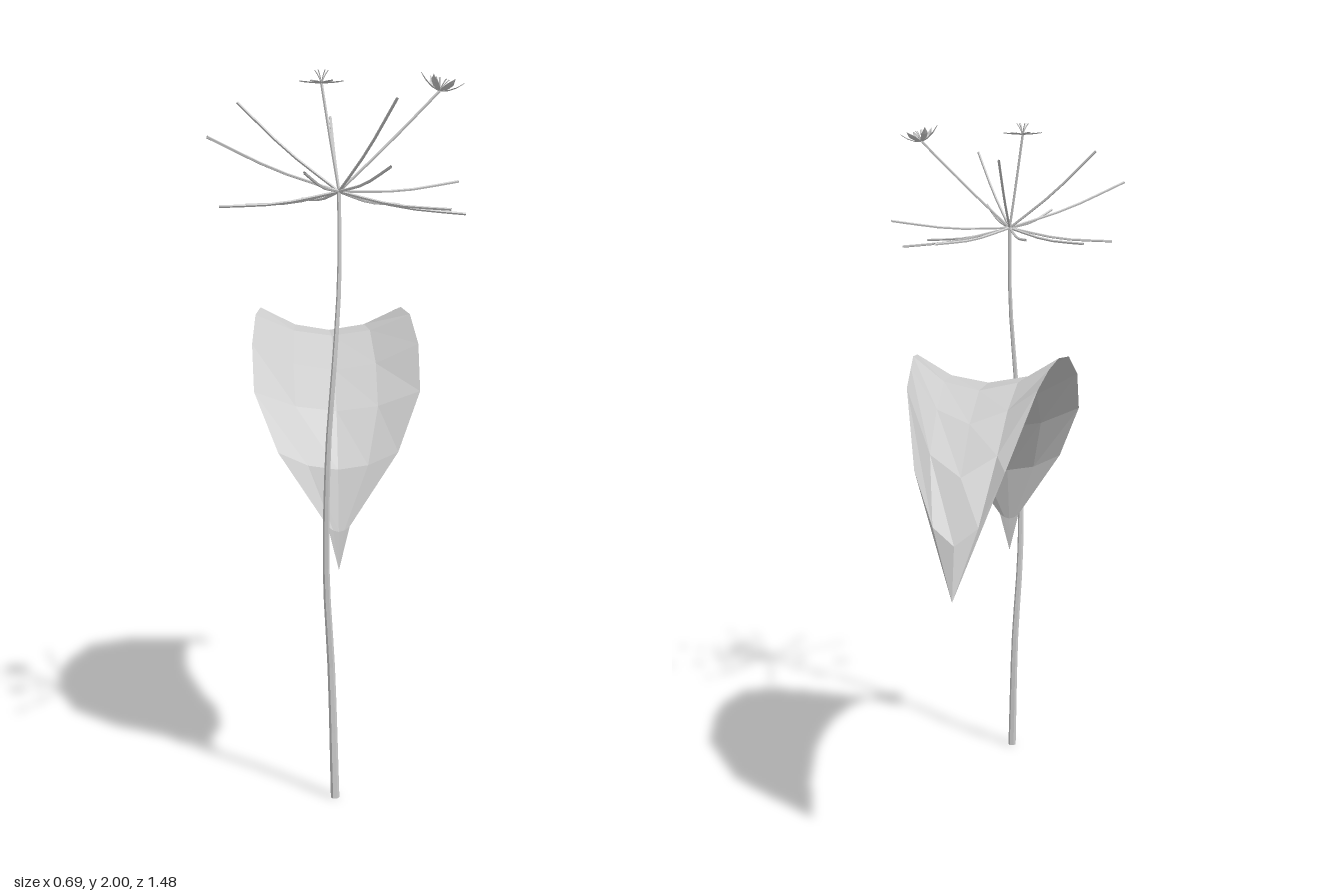
import * as THREE from 'three';

const grey = new THREE.MeshStandardMaterial({ color: 0xcccccc, flatShading: true, side: THREE.DoubleSide });
grey.name = 'plainGrey';

const V = (x, y, z) => new THREE.Vector3(x, y, z);

function add(parent, name, geometry) {
  const mesh = new THREE.Mesh(geometry, grey);
  mesh.name = name;
  parent.add(mesh);
  return mesh;
}

// Sheet through a grid of points: point(row, column) gives each corner
function sheet(rows, cols, point) {
  const pos = [], index = [];
  for (let r = 0; r <= rows; r++)
    for (let c = 0; c <= cols; c++) pos.push(...point(r, c));
  for (let r = 0; r < rows; r++)
    for (let c = 0; c < cols; c++) {
      const a = r * (cols + 1) + c, b = a + cols + 1;
      index.push(a, a + 1, b, a + 1, b + 1, b);
    }
  const g = new THREE.BufferGeometry();
  g.setAttribute('position', new THREE.Float32BufferAttribute(pos, 3));
  g.setIndex(index);
  g.computeVertexNormals();
  return g;
}

const tube = (points, radius, segments, sides) =>
  new THREE.TubeGeometry(new THREE.CatmullRomCurve3(points), segments, radius, sides);

// Flower: six pointed petals around a ring of stamens, opening by "lift"
function flower(lift) {
  const g = new THREE.Group();
  const profile = [[0.004, 0, 0.003], [0.022, 0.15, 0.01], [0.042, 0.5, 0.011], [0.06, 1, 0]];
  for (let i = 0; i < 6; i++) {
    const arm = new THREE.Group();
    arm.rotation.y = (i * Math.PI) / 3 + 0.5;
    add(arm, 'petal', sheet(3, 2, (r, c) => {
      const [d, h, w] = profile[r];
      return [(c - 1) * w, h * lift + Math.abs(c - 1) * 0.003, d];
    }));
    add(arm, 'stamen', tube([V(0, 0, 0), V(0, 0.02, 0.008), V(0, 0.035, 0.018)], 0.0015, 3, 4));
    g.add(arm);
  }
  return g;
}

export function createModel() {
  const model = new THREE.Group();
  model.name = 'floweringPlant';

  // Stem, swaying slightly and thinning upward
  const path = [V(-0.01, 0, 0.425), V(-0.02, 0.36, 0.415), V(-0.035, 0.65, 0.43), V(-0.03, 1, 0.458),
    V(-0.015, 1.21, 0.46), V(0, 1.45, 0.44), V(0, 1.68, 0.42)];
  const curve = new THREE.CatmullRomCurve3(path);
  const stem = new THREE.TubeGeometry(curve, 18, 1, 6);
  const p = stem.attributes.position, v = new THREE.Vector3();
  for (let i = 0; i < p.count; i++) {
    const t = Math.floor(i / 7) / 18, c = curve.getPointAt(t);
    v.fromBufferAttribute(p, i).sub(c).multiplyScalar(0.012 - 0.007 * t).add(c);
    p.setXYZ(i, v.x, Math.max(0, v.y), v.z);
  }
  add(model, 'stem', stem);

  // Arching leaf, channelled along its midrib: half width, edge z, edge y, midrib z, midrib y
  const leaf = [
    [0, 0.43, 0.65, 0.43, 0.65],
    [0.03, 0.42, 0.77, 0.42, 0.755],
    [0.165, 0.385, 0.97, 0.375, 0.92],
    [0.23, 0.32, 1.13, 0.28, 1.07],
    [0.235, 0.2, 1.25, 0.14, 1.17],
    [0.225, 0.03, 1.32, -0.06, 1.25],
    [0.21, -0.12, 1.33, -0.25, 1.25],
    [0.195, -0.24, 1.31, -0.43, 1.18],
    [0.18, -0.385, 1.27, -0.59, 1.06],
    [0.12, -0.61, 1.08, -0.705, 0.9],
    [0, -0.74, 0.76, -0.74, 0.76],
  ];
  add(model, 'leaf', sheet(10, 4, (r, c) => {
    const [w, ez, ey, mz, my] = leaf[r], t = c / 2 - 1, k = t * t;
    return [t * w, my + (ey - my) * k, mz + (ez - mz) * k];
  }));

  // Bare stalks radiating from the top of the stem
  const hub = V(0, 1.68, 0.42);
  const stalk = (name, end, sag) => {
    const mid = hub.clone().lerp(end, 0.5);
    mid.y -= sag;
    add(model, name, tube([hub, mid, end], 0.004, 5, 5));
  };
  const tips = [
    [-0.25, 1.64, 0.2], [-0.09, 1.655, 0.085], [-0.01, 1.885, 0.09], [0.185, 1.64, 0.115],
    [0.34, 1.705, 0.235], [0.34, 1.62, 0.42], [0.285, 1.635, 0.565], [0.135, 1.915, 0.675],
    [0.115, 1.745, 0.735], [-0.1, 1.73, 0.72], [-0.345, 1.82, 0.605], [-0.32, 1.64, 0.42],
    [-0.27, 1.915, 0.38],
  ];
  for (const t of tips) stalk('stalk', V(...t), 0.012);

  // Two open flowers on their own stalks
  const blooms = [[V(-0.045, 1.965, 0.38), 0.005, 0], [V(0.27, 1.945, 0.385), 0.035, -0.25]];
  for (const [at, lift, tilt] of blooms) {
    stalk('flowerStalk', at, 0.004);
    const f = flower(lift);
    f.name = 'flower';
    f.position.copy(at);
    f.rotation.z = tilt;
    model.add(f);
  }
  return model;
}
